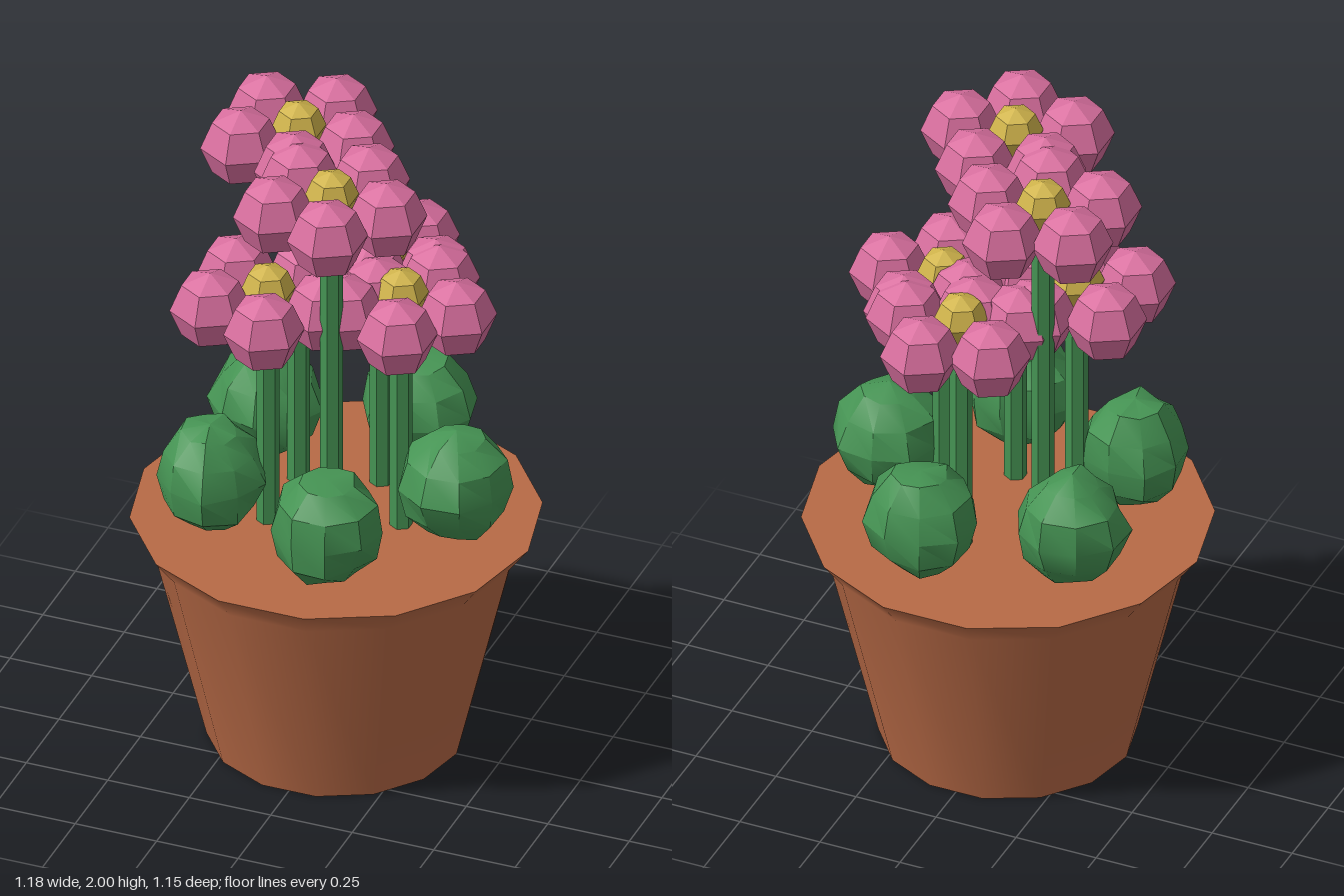
import * as THREE from 'three';
import { mergeVertices, toCreasedNormals } from 'three/addons/utils/BufferGeometryUtils.js';

function material(name, color) {
  const m = new THREE.MeshStandardMaterial({ color });
  m.name = name;
  return m;
}

function add(parent, name, geometry, mat, x = 0, y = 0, z = 0) {
  const mesh = new THREE.Mesh(geometry, mat);
  mesh.name = name;
  mesh.position.set(x, y, z);
  parent.add(mesh);
  return mesh;
}

// Copy of a geometry with one normal per face
function faceted(geometry) {
  const g = geometry.toNonIndexed();
  g.computeVertexNormals();
  return g;
}

// Six-sided bead with a corner pointing to the front
function bead(radius) {
  return faceted(new THREE.SphereGeometry(radius, 6, 4).rotateY(Math.PI / 6));
}

// Lumpy leaf ball, shaped by a seeded jitter of each vertex
function leafBall(seed) {
  let g = new THREE.SphereGeometry(0.165, 9, 6).rotateY(seed * 1.3);
  g.deleteAttribute('normal');
  g.deleteAttribute('uv');
  g = mergeVertices(g, 1e-3);
  const p = g.attributes.position;
  for (let i = 0; i < p.count; i++) {
    const n = Math.sin((i + 1) * 12.9898 + seed * 78.233) * 43758.5453;
    const k = 0.9 + 0.15 * (n - Math.floor(n));
    p.setXYZ(i, p.getX(i) * k, p.getY(i) * k * 1.06, p.getZ(i) * k);
  }
  return toCreasedNormals(g, 0.5);
}

export function createModel() {
  const model = new THREE.Group();
  model.name = 'pottedFlowers';
  const clay = material('terracotta', 0xb86a46);
  const green = material('leafGreen', 0x459353);
  const pink = material('petalPink', 0xd96f9f);
  const yellow = material('centreYellow', 0xd0b44c);

  // Pot: smooth flared wall with flat top and base
  const SIDES = 14, TOP = 0.735;
  const profile = [[0.37, 0], [0.53, 0.655], [0.59, TOP]].map(([r, y]) => new THREE.Vector2(r, y));
  const pot = new THREE.Group();
  pot.name = 'pot';
  model.add(pot);
  add(pot, 'potWall', new THREE.LatheGeometry(profile, SIDES, Math.PI / 2), clay);
  add(pot, 'potTop', new THREE.CircleGeometry(0.59, SIDES).rotateX(-Math.PI / 2), clay, 0, TOP, 0);
  add(pot, 'potBase', new THREE.CircleGeometry(0.37, SIDES).rotateX(Math.PI / 2), clay);

  const petal = bead(0.117);
  const centre = bead(0.08);

  // Five leaf balls, each with a flower further in; two of the flowers are taller
  for (let i = 0; i < 5; i++) {
    const a = (i * Math.PI * 2) / 5;
    add(model, 'leafBall', leafBall(i + 1), green, 0.37 * Math.cos(a), 0.913, 0.37 * Math.sin(a));

    const headY = i % 2 ? 1.883 : 1.473;
    const flower = new THREE.Group();
    flower.name = 'flower';
    flower.position.set(0.2 * Math.cos(a), 0, 0.2 * Math.sin(a));
    model.add(flower);

    const length = headY - 0.7;
    const stem = faceted(new THREE.CylinderGeometry(0.033, 0.033, length, 6));
    add(flower, 'stem', stem, green, 0, 0.7 + length / 2, 0);
    add(flower, 'flowerCentre', centre, yellow, 0, headY + 0.037, 0);
    for (let j = 0; j < 5; j++) {
      const b = (j * Math.PI * 2) / 5;
      add(flower, 'petal', petal, pink, 0.17 * Math.cos(b), headY, 0.17 * Math.sin(b));
    }
  }
  return model;
}
